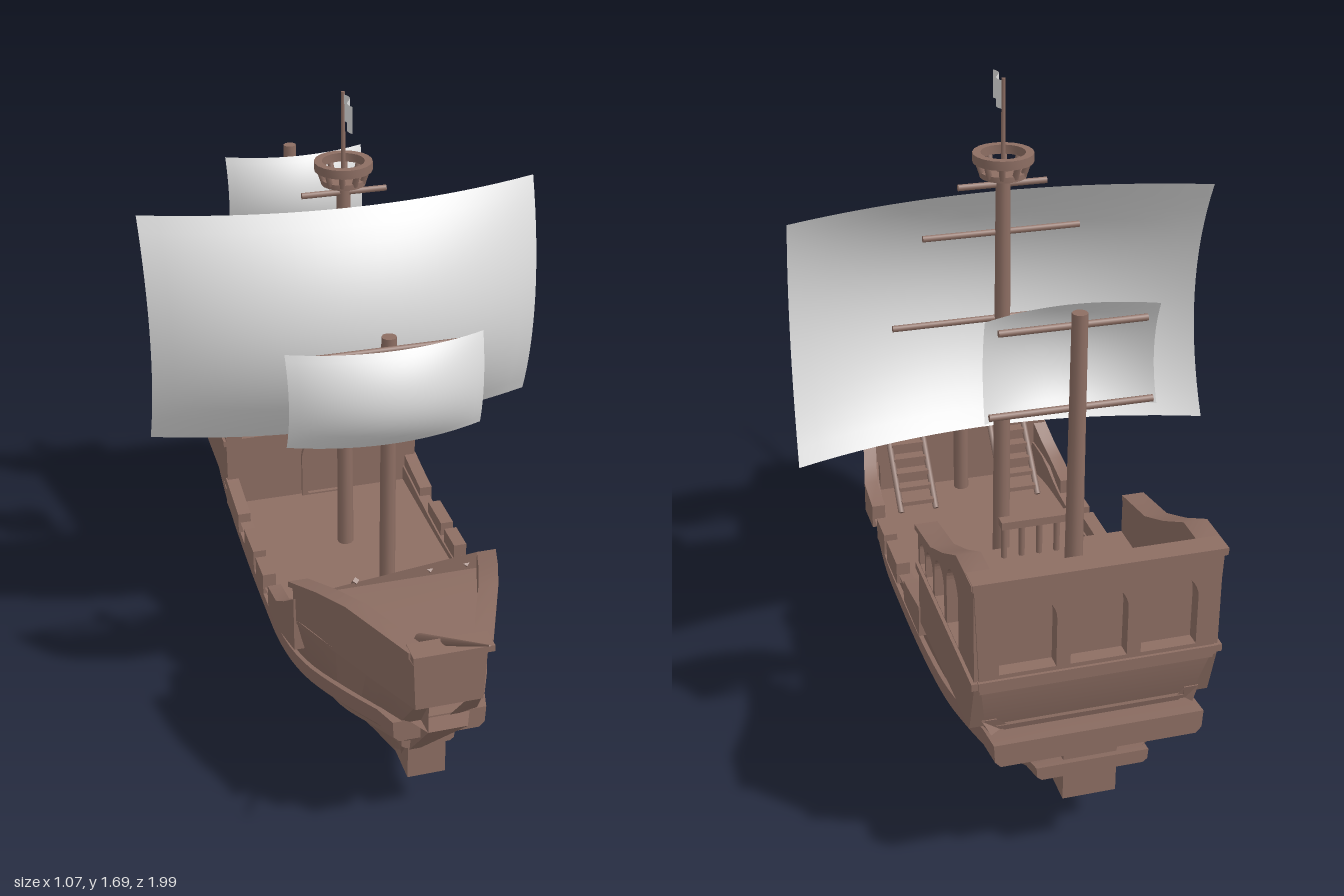
import * as THREE from 'three';
import { toCreasedNormals } from 'three/addons/utils/BufferGeometryUtils.js';

const V = (x, y, z) => new THREE.Vector3(x, y, z);

export function createModel() {
  const wood = new THREE.MeshStandardMaterial({ color: 0x8d6e63 });
  wood.name = 'wood';
  const cloth = new THREE.MeshStandardMaterial({ color: 0xe0e0e0, side: THREE.DoubleSide });
  cloth.name = 'cloth';

  const ship = new THREE.Group();
  ship.name = 'sailingShip';

  const add = (name, geo, mat = wood) => {
    const m = new THREE.Mesh(geo, mat);
    m.name = name;
    ship.add(m);
    return m;
  };
  // Box from its minimum and maximum corners
  const box = (name, x0, x1, y0, y1, z0, z1) =>
    add(name, new THREE.BoxGeometry(x1 - x0, y1 - y0, z1 - z0))
      .position.set((x0 + x1) / 2, (y0 + y1) / 2, (z0 + z1) / 2);
  // Round bar between two points
  const spar = (name, a, b, r0, r1 = r0, sides = 10) => {
    const d = b.clone().sub(a);
    const m = add(name, new THREE.CylinderGeometry(r1, r0, d.length(), sides));
    m.position.copy(a).addScaledVector(d, 0.5);
    m.quaternion.setFromUnitVectors(V(0, 1, 0), d.normalize());
  };
  // Closed skin through sections running stern to bow, each counter-clockwise seen from the bow
  const loft = (name, sections, hub = 0, crease = 0.5) => {
    const n = sections[0].length, pos = [], idx = [];
    sections.forEach(s => s.forEach(p => pos.push(p.x, p.y, p.z)));
    for (let i = 0; i < sections.length - 1; i++)
      for (let j = 0; j < n; j++) {
        const a = i * n + j, b = i * n + (j + 1) % n;
        idx.push(a, b, b + n, a, b + n, a + n);
      }
    const e = (sections.length - 1) * n;
    for (let k = 1; k < n - 1; k++) {
      const p = (hub + k) % n, q = (hub + k + 1) % n;
      idx.push(hub, q, p, e + hub, e + p, e + q);
    }
    const g = new THREE.BufferGeometry();
    g.setAttribute('position', new THREE.Float32BufferAttribute(pos, 3));
    g.setIndex(idx);
    return add(name, toCreasedNormals(g, crease));
  };
  const mirrored = half => [...half.map(p => V(-p.x, p.y, p.z)).reverse(), ...half];

  // Long lines of the hull as [z, y, half width], stern to bow
  const line = pts => new THREE.CatmullRomCurve3(pts.map(([z, y, x]) => V(x, y, z)));
  const keel = line([[-.86, .18, .06], [-.75, .115, .055], [-.6, .05, .05], [-.37, 0, .045], [-.1, 0, .045],
    [.1, .005, .045], [.3, .04, .045], [.45, .1, .045], [.54, .14, .045]]);
  const bilge = line([[-.92, .28, .12], [-.76, .21, .14], [-.6, .165, .15], [-.37, .12, .155], [-.1, .11, .155],
    [.1, .115, .152], [.3, .155, .13], [.47, .21, .09], [.6, .25, .055]]);
  const wale = line([[-.95, .385, .23], [-.77, .33, .24], [-.6, .285, .245], [-.37, .25, .245], [-.1, .24, .245],
    [.1, .245, .243], [.3, .28, .225], [.5, .33, .175], [.68, .365, .1]]);
  const side = line([[-.93, .44, .26], [-.77, .43, .275], [-.6, .42, .285], [-.37, .4, .285], [-.1, .38, .285],
    [.1, .385, .285], [.29, .45, .268], [.54, .47, .178], [.77, .485, .085]]);

  // Hull with a sunken main deck
  const N = 32, hull = [];
  for (let i = 0; i <= N; i++) {
    const [k, a, b, c] = [keel, bilge, wale, side].map(l => l.getPoint(i / N));
    const inner = Math.max(.02, c.x - .035);
    hull.push(mirrored([k, a, b, c, V(inner, c.y, c.z), V(inner, Math.max(.36, b.y + .035), c.z)]));
  }
  loft('hull', hull, 5);

  // Raised planks running round the hull
  const plank = (name, curve, out, h, over) => {
    const s = [];
    for (let i = 0; i <= N; i++) {
      const p = curve.getPoint(i / N);
      const z = p.z + (i === 0 ? -over : i === N ? over * .6 : 0);
      s.push(mirrored([V(p.x + out * .2, p.y - h / 2, z), V(p.x + out, p.y - h / 4, z), V(p.x + out * 1.15, p.y + h / 2, z)]));
    }
    loft(name, s);
  };
  plank('lowerWale', bilge, .014, .035, .03);
  plank('upperWale', wale, .017, .06, .042);
  box('stemBlock', -.05, .05, .13, .24, .48, .61);
  box('sternPost', -.065, .065, .18, .32, -.93, -.84);

  // Bulwark pieces with gaps between them, as [z, top] points
  const bulwarks = [[[-.45, .445], [-.36, .43], [-.28, .42]], [[-.2, .42], [-.08, .42]],
    [[-.05, .42], [.04, .42]], [[.1, .425], [.2, .445], [.25, .475], [.31, .52]]];
  for (const piece of bulwarks)
    for (const s of [1, -1])
      loft('bulwark', piece.map(([z, y]) => {
        const x = s * (.273 - Math.max(0, z - .2) * .2), w = .018;
        return [V(x - w, .36, z), V(x + w, .36, z), V(x + w, y, z), V(x - w, y, z)];
      }));

  // Forecastle with a sunken deck and overhanging rail
  loft('forecastle', [[.3, .266, .44, .268, .57, .52], [.43, .22, .455, .226, .615, .53], [.55, .176, .465, .184, .645, .535],
    [.775, .085, .48, .092, .65, .54]].map(([z, bx, by, tx, ty, deck]) => mirrored([V(bx, by, z), V(tx, ty - .016, z),
    V(tx + .012, ty - .016, z), V(tx + .012, ty, z), V(tx - .04, ty, z), V(tx - .04, deck, z)])));
  box('bowRail', -.1, .1, .634, .651, .74, .8);
  box('bowWall', -.085, .085, .5, .64, .74, .775);
  box('forecastleBulkhead', -.225, .225, .35, .51, .3, .325);
  spar('bowsprit', V(-.02, .55, .6), V(.01, .81, 1), .016, .002);

  // Ladders up to the forecastle
  for (const s of [1, -1]) {
    for (let i = 0; i < 5; i++) {
      const y = .385 + i * .03, z = .16 + i * .03;
      box('ladderStep', s * .15 - .045, s * .15 + .045, y, y + .012, z - .014, z + .018);
    }
    for (const dx of [-.05, .05])
      spar('ladderRail', V(s * .15 + dx, .37, .14), V(s * .15 + dx, .54, .3), .009, .009, 4);
  }

  // Aftercastle deck, bulkhead and door frame
  const slab = (z, y0, y1, x) => [V(-x, y0, z), V(x, y0, z), V(x, y1, z), V(-x, y1, z)];
  loft('quarterdeck', [slab(-.96, .54, .575, .27), slab(-.92, .42, .575, .25), slab(-.44, .4, .575, .25)]);
  box('cabinBulkhead', -.25, .25, .35, .57, -.47, -.44);
  const arch = (P, c, w, y0, y1) => {
    const p = new P();
    p.moveTo(c - w, y0);
    p.lineTo(c + w, y0);
    p.lineTo(c + w, y1 - w);
    p.absarc(c, y1 - w, w, 0, Math.PI, false);
    p.closePath();
    return p;
  };
  const extrude = (shape, depth) => new THREE.ExtrudeGeometry(shape, { depth, bevelEnabled: false, curveSegments: 8 });
  const frame = arch(THREE.Shape, 0, .065, .36, .555);
  frame.holes.push(arch(THREE.Path, 0, .048, .365, .535));
  add('doorFrame', extrude(frame, .012)).position.z = -.44;

  // Castle walls: deep arched outer layer over a plain backing
  const outline = pts => new THREE.Shape(pts.map(p => new THREE.Vector2(...p)));
  const sidePts = [[.44, .4], [.92, .42], [.96, .55], [.96, .82], [.84, .82], [.72, .755], [.6, .7], [.44, .67]];
  const sternPts = [[-.275, .54], [.275, .54], [.288, .82], [-.288, .82]];
  const sideWall = outline(sidePts), sternWall = outline(sternPts);
  for (const [c, w, top] of [[.485, .026, .645], [.555, .034, .66], [.652, .046, .695], [.775, .052, .745]])
    sideWall.holes.push(arch(THREE.Path, c, w, .575, top));
  for (const c of [-.165, 0, .165]) sternWall.holes.push(arch(THREE.Path, c, .066, .585, .775));
  for (const s of [1, -1]) {
    for (const [name, shape, x, d] of [['castleSide', sideWall, .252, .035], ['castleSideBacking', outline(sidePts), .24, .012]]) {
      const m = add(name, extrude(shape, d));
      m.rotation.y = Math.PI / 2;
      m.position.x = s > 0 ? x : -x - d;
    }
    loft('castleRail', [[-.97, .815], [-.84, .815], [-.72, .75], [-.6, .695], [-.44, .665]].map(([z, y]) => {
      const x0 = s > 0 ? .238 : -.295, x1 = x0 + .057;
      return [V(x0, y, z), V(x1, y, z), V(x1, y + .014, z), V(x0, y + .014, z)];
    }));
    box('castleSill', s * .28 - .015, s * .28 + .015, .555, .573, -.968, -.44);
  }
  add('castleStern', extrude(sternWall, .035)).position.z = -.965;
  add('castleSternBacking', extrude(outline(sternPts), .012)).position.z = -.93;
  box('sternRail', -.293, .293, .812, .83, -.972, -.915);
  box('sternSill', -.28, .28, .553, .575, -.972, -.94);

  // Quarterdeck railing
  box('deckRail', -.11, .09, .66, .68, -.495, -.465);
  for (const x of [-.1, -.055, -.01, .035, .08]) spar('deckRailPost', V(x, .57, -.48), V(x, .665, -.48), .008, .008, 6);

  // Masts
  spar('foreMast', V(-.005, .35, .262), V(-.005, 1.21, .262), .021, .019);
  spar('mainMast', V(-.005, .35, -.16), V(-.005, 1.47, -.16), .023, .018);
  spar('mizzenMast', V(-.005, .55, -.76), V(-.005, 1.34, -.76), .022, .018);

  // Yards as [x, y, z, half length]
  for (const [x, y, z, l] of [[-.005, 1.425, -.155, .112], [-.005, 1.3, -.15, .2], [-.005, 1.07, -.15, .28],
    [-.02, 1.185, .283, .2], [-.02, .965, .283, .23], [0, 1.3, -.735, .17], [0, 1.1, -.735, .19]])
    spar('yard', V(x - l, y, z), V(x + l, y, z), .0085, .0085, 8);

  // Crow's nest
  const ring = (name, r, tube, y, h) => {
    const g = new THREE.LatheGeometry([[r - tube, y], [r, y], [r, y + h], [r - tube, y + h], [r - tube, y]]
      .map(p => new THREE.Vector2(...p)), 20);
    add(name, toCreasedNormals(g, .5)).position.set(-.005, 0, -.16);
  };
  ring('nestTopRing', .075, .02, 1.485, .023);
  ring('nestFloor', .058, .055, 1.448, .014);
  for (let i = 0; i < 10; i++) {
    const a = i / 10 * Math.PI * 2, c = Math.cos(a), s = Math.sin(a);
    spar('nestPost', V(-.005 + c * .052, 1.455, -.16 + s * .052), V(-.005 + c * .064, 1.49, -.16 + s * .064), .008, .008, 6);
  }

  // Sails: flat sheets pushed forward in the middle, by height, by width and by both
  const sail = (name, x0, x1, y0, y1, z, bellyY, bellyX, bellyXY) => {
    const g = new THREE.PlaneGeometry(2, 2, 20, 16), p = g.attributes.position;
    for (let i = 0; i < p.count; i++) {
      const u = p.getX(i), v = p.getY(i), a = 1 - u * u, b = 1 - v * v;
      p.setXYZ(i, (x0 + x1) / 2 + u * (x1 - x0) / 2 * (1 - .01 * b), (y0 + y1) / 2 + v * (y1 - y0) / 2,
        z + bellyY * b + bellyX * a + bellyXY * a * b);
    }
    g.computeVertexNormals();
    add(name, g, cloth);
  };
  sail('mainSail', -.535, .535, .75, 1.395, -.215, .075, .095, .065);
  sail('foreSail', -.27, .23, .95, 1.205, .28, .025, .05, .03);
  sail('mizzenSail', -.2, .2, 1.085, 1.33, -.735, .025, .045, .02);

  // Flag
  spar('flagPole', V(-.005, 1.46, -.16), V(-.005, 1.69, -.16), .006, .005, 6);
  const flag = new THREE.PlaneGeometry(.1, .07, 10, 1);
  flag.rotateY(Math.PI / 2).translate(0, 1.648, -.11);
  const fp = flag.attributes.position;
  for (let i = 0; i < fp.count; i++) fp.setX(i, -.005 + .01 * Math.sin((fp.getZ(i) + .16) * 60));
  flag.computeVertexNormals();
  add('flag', flag, cloth);

  return ship;
}
